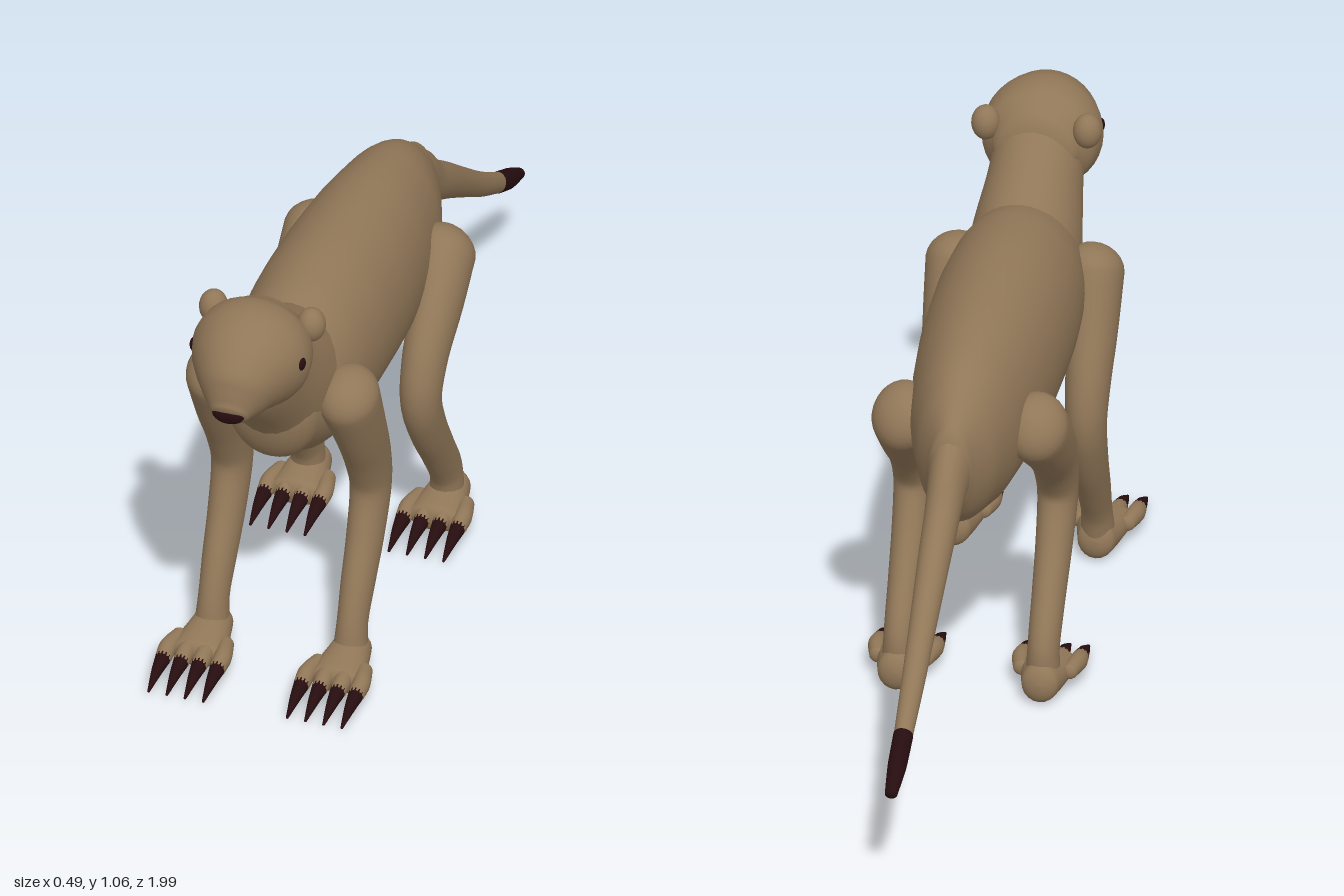
import * as THREE from 'three';

const fur = new THREE.MeshStandardMaterial({ color: 0x917758 });
fur.name = 'tan fur';
const dark = new THREE.MeshStandardMaterial({ color: 0x260d0f });
dark.name = 'dark brown';

// Smooth skin over elliptical sections [x, y, z, side radius, upright radius], with rounded ends
function loft(name, sections, material, { steps = 28, sides = 28, cap = 0.6 } = {}) {
  const path = new THREE.CatmullRomCurve3(sections.map(s => new THREE.Vector3(s[0], s[1], s[2])));
  const radii = new THREE.CatmullRomCurve3(sections.map(s => new THREE.Vector3(s[3], s[4] ?? s[3], 0)));
  const rings = [];
  const addRing = (t, angle, end) => {
    const c = path.getPoint(t), r = radii.getPoint(t), tan = path.getTangent(t);
    c.addScaledVector(tan, end * cap * Math.min(r.x, r.y) * Math.sin(angle));
    rings.push({ c, tan, r: r.multiplyScalar(Math.max(Math.cos(angle), 0.005)) });
  };
  const capSteps = 6;
  for (let i = capSteps; i > 0; i--) addRing(0, i / capSteps * Math.PI / 2, -1);
  for (let i = 0; i <= steps; i++) addRing(i / steps, 0, 0);
  for (let i = 1; i <= capSteps; i++) addRing(1, i / capSteps * Math.PI / 2, 1);

  const positions = [], index = [], X = new THREE.Vector3(1, 0, 0);
  rings.forEach(({ c, tan, r }, i) => {
    const up = new THREE.Vector3().crossVectors(tan, X).normalize();
    for (let j = 0; j < sides; j++) {
      const a = j / sides * Math.PI * 2;
      const p = c.clone().addScaledVector(X, r.x * Math.cos(a)).addScaledVector(up, r.y * Math.sin(a));
      positions.push(p.x, p.y, p.z);
      if (i === rings.length - 1) continue;
      const k = (j + 1) % sides, n = i * sides, m = n + sides;
      index.push(n + j, n + k, m + j, n + k, m + k, m + j);
    }
  });
  const g = new THREE.BufferGeometry();
  g.setAttribute('position', new THREE.Float32BufferAttribute(positions, 3));
  g.setIndex(index);
  g.computeVertexNormals();
  const mesh = new THREE.Mesh(g, material);
  mesh.name = name;
  return mesh;
}

// Sections given as [z, top, bottom, half width]
const profile = rows => rows.map(([z, top, bottom, w]) => [0, (top + bottom) / 2, z, w, (top - bottom) / 2]);

function ellipsoid(name, position, scale, material) {
  const mesh = new THREE.Mesh(new THREE.SphereGeometry(1, 24, 16), material);
  mesh.name = name;
  mesh.position.set(...position);
  mesh.scale.set(...scale);
  return mesh;
}

// Paw with four toes and claws; origin at the ankle on the ground
function paw(name) {
  const g = new THREE.Group();
  g.name = name;
  g.add(loft('palm', [
    [0, 0.052, -0.01, 0.042, 0.046], [0, 0.046, 0.05, 0.054, 0.042], [0, 0.042, 0.11, 0.062, 0.034],
  ], fur, { steps: 10, sides: 20 }));
  for (let i = 0; i < 4; i++) {
    const x = (i - 1.5) * 0.042;
    g.add(loft('toe', [
      [x * 0.85, 0.052, 0.07, 0.018], [x, 0.05, 0.12, 0.02, 0.022], [x, 0.043, 0.158, 0.018, 0.019],
    ], fur, { steps: 8, sides: 14 }));
    g.add(loft('claw', [
      [x, 0.044, 0.155, 0.018, 0.019], [x, 0.037, 0.195, 0.013, 0.013], [x, 0.018, 0.255, 0.003, 0.003],
    ], dark, { steps: 8, sides: 12 }));
  }
  return g;
}

export function createModel() {
  const model = new THREE.Group();
  model.name = 'animal';

  // Trunk, neck and head
  model.add(loft('body', profile([
    [-0.28, 0.785, 0.575, 0.05], [-0.2, 0.84, 0.51, 0.09], [-0.1, 0.88, 0.48, 0.122], [0.05, 0.905, 0.473, 0.145],
    [0.2, 0.915, 0.482, 0.157], [0.35, 0.918, 0.488, 0.16], [0.5, 0.905, 0.5, 0.153], [0.6, 0.875, 0.525, 0.135],
    [0.68, 0.82, 0.565, 0.105],
  ]), fur, { steps: 40, sides: 40 }));
  model.add(loft('neck', [
    [0, 0.7, 0.56, 0.13, 0.17], [0, 0.78, 0.65, 0.12, 0.145], [0, 0.86, 0.74, 0.105, 0.125], [0, 0.93, 0.8, 0.1, 0.1],
  ], fur));
  model.add(loft('head', profile([
    [0.735, 1.025, 0.85, 0.095], [0.78, 1.052, 0.815, 0.127], [0.83, 1.06, 0.8, 0.134], [0.88, 1.042, 0.797, 0.119],
    [0.92, 1.005, 0.8, 0.094], [0.95, 0.958, 0.808, 0.069], [0.975, 0.908, 0.825, 0.045],
  ]), fur, { steps: 32, sides: 36, cap: 0.35 }));
  model.add(ellipsoid('nose', [0, 0.87, 0.984], [0.037, 0.024, 0.016], dark));

  // Tail with dark tip
  model.add(loft('tail', [
    [0, 0.68, -0.24, 0.06, 0.1], [0, 0.665, -0.3, 0.045, 0.075], [0, 0.615, -0.38, 0.039, 0.05],
    [0, 0.56, -0.47, 0.036, 0.042], [0, 0.465, -0.61, 0.03, 0.033], [0, 0.39, -0.72, 0.026, 0.028],
    [0, 0.318, -0.84, 0.021, 0.024],
  ], fur, { sides: 20 }));
  model.add(loft('tailTip', [
    [0, 0.318, -0.84, 0.022, 0.025], [0, 0.283, -0.91, 0.021, 0.024], [0, 0.25, -0.985, 0.014, 0.013],
  ], dark, { steps: 10, sides: 20 }));

  for (const s of [1, -1]) {
    const side = s > 0 ? 'left' : 'right';
    const leg = (name, rows) => loft(side + name, rows.map(([x, ...rest]) => [s * x, ...rest]), fur, { cap: 0.9 });

    // Ears and eyes
    model.add(ellipsoid(side + 'Ear', [s * 0.113, 0.983, 0.752], [0.032, 0.04, 0.033], fur));
    model.add(ellipsoid(side + 'Eye', [s * 0.124, 0.945, 0.852], [0.009, 0.016, 0.015], dark));

    // Front leg, bent back at the elbow
    model.add(leg('FrontLeg', [
      [0.152, 0.715, 0.615, 0.068, 0.078], [0.16, 0.6, 0.56, 0.056, 0.07], [0.16, 0.5, 0.51, 0.05, 0.064],
      [0.16, 0.41, 0.487, 0.045, 0.057], [0.16, 0.3, 0.522, 0.041, 0.054], [0.16, 0.2, 0.575, 0.037, 0.049],
      [0.16, 0.12, 0.612, 0.034, 0.042], [0.16, 0.06, 0.625, 0.038, 0.042],
    ]));
    const frontPaw = paw(side + 'FrontPaw');
    frontPaw.position.set(s * 0.16, 0, 0.615);
    model.add(frontPaw);

    // Hind leg, knee forward and heel back
    model.add(leg('HindLeg', [
      [0.148, 0.675, -0.045, 0.07, 0.08], [0.16, 0.6, 0.035, 0.057, 0.076], [0.16, 0.51, 0.115, 0.05, 0.065],
      [0.16, 0.42, 0.148, 0.045, 0.055], [0.16, 0.32, 0.108, 0.041, 0.052], [0.16, 0.21, 0.035, 0.037, 0.047],
      [0.16, 0.12, -0.022, 0.035, 0.046], [0.16, 0.065, -0.03, 0.038, 0.042],
    ]));
    const hindPaw = paw(side + 'HindPaw');
    hindPaw.position.set(s * 0.16, 0, -0.075);
    hindPaw.children[0].position.z = 0.02;
    model.add(hindPaw);
  }
  return model;
}
